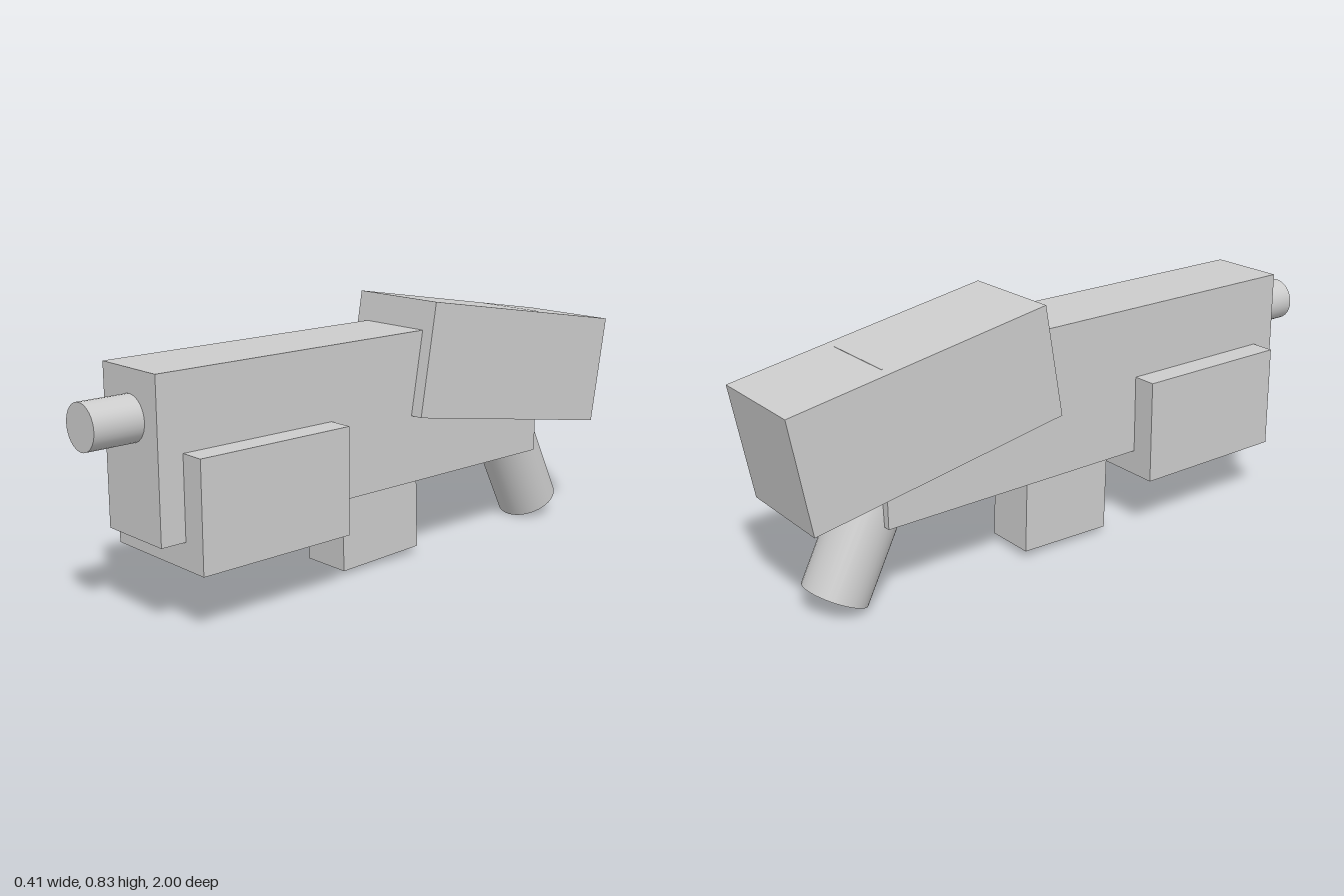
import * as THREE from 'three';

export function createModel() {
  const group = new THREE.Group();
  const grey = new THREE.MeshStandardMaterial({ color: 0xcccccc });
  grey.name = 'light grey';

  // Places a part at a centre, pitched about the x axis
  const add = (name, geometry, [x, y, z], pitch = 0) => {
    const mesh = new THREE.Mesh(geometry, grey);
    mesh.name = name;
    mesh.position.set(x, y, z);
    mesh.rotation.x = pitch;
    group.add(mesh);
  };

  // Long main body and the thicker fore-end around it
  add('body', new THREE.BoxGeometry(0.25, 0.477, 1.53), [0, 0.5065, 0.08]);
  add('foreEnd', new THREE.BoxGeometry(0.406, 0.33, 0.53), [0, 0.353, 0.5]);

  // Short barrel protruding from the front
  add('barrel', new THREE.CylinderGeometry(0.068, 0.068, 0.3, 32), [0, 0.606, 0.85], Math.PI / 2);

  // Slightly tilted magazine, a little off centre
  add('magazine', new THREE.BoxGeometry(0.164, 0.4, 0.318), [-0.01, 0.222, -0.013], 0.03);

  // Wide stock sloping down to the rear
  add('stock', new THREE.BoxGeometry(0.334, 0.358, 0.857), [0, 0.586, -0.547], -0.17);

  // Round grip raked backwards; its upper end is buried in the body
  const rake = 0.465, length = 0.46;
  add('grip', new THREE.CylinderGeometry(0.102, 0.102, length, 32),
    [0, 0.05 + Math.cos(rake) * length / 2, -0.8 + Math.sin(rake) * length / 2], rake);

  return group;
}
